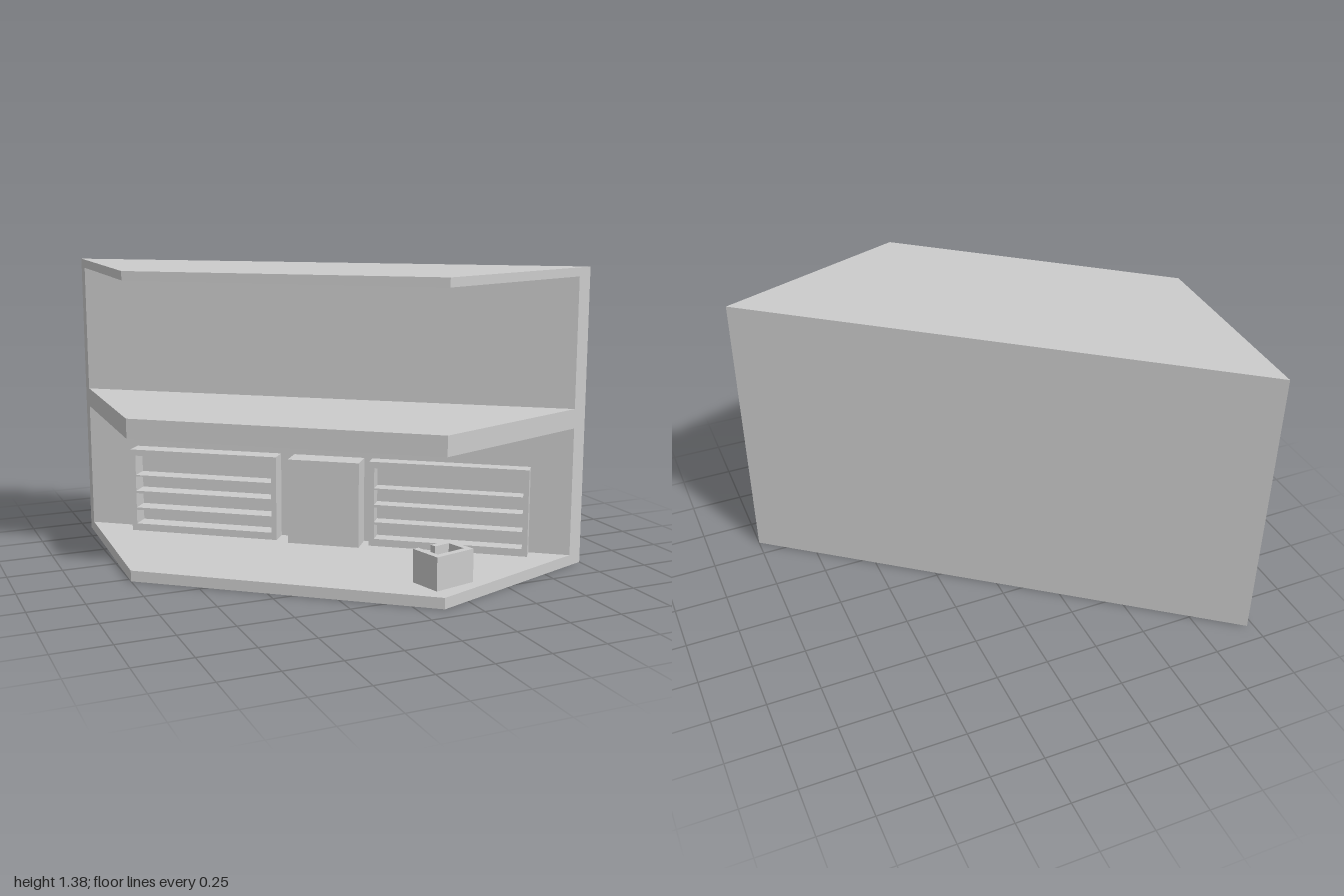
import * as THREE from 'three';

const material = new THREE.MeshStandardMaterial({ color: 0xcccccc, flatShading: true });

function add(parent, name, geometry, x = 0, y = 0, z = 0) {
  const mesh = new THREE.Mesh(geometry, material);
  mesh.name = name;
  mesh.position.set(x, y, z);
  parent.add(mesh);
  return mesh;
}

function box(parent, name, w, h, d, x, y, z) {
  return add(parent, name, new THREE.BoxGeometry(w, h, d), x, y, z);
}

// Upright prism over a plan outline given as [x, z] corners
function prism(corners, height) {
  const shape = new THREE.Shape(corners.map(([x, z]) => new THREE.Vector2(x, -z)));
  return new THREE.ExtrudeGeometry(shape, { depth: height, bevelEnabled: false }).rotateX(-Math.PI / 2);
}

function rectangle(Type, x0, y0, x1, y1) {
  return new Type([[x0, y0], [x1, y0], [x1, y1], [x0, y1]].map(p => new THREE.Vector2(...p)));
}

// Bookcase with four open bays, from x0 to x1, its back at z = 0
function bookcase(parent, name, x0, x1, depth) {
  const front = rectangle(THREE.Shape, x0, 0.05, x1, 0.46);
  for (const [low, high] of [[0.085, 0.155], [0.167, 0.24], [0.252, 0.325], [0.332, 0.43]]) {
    front.holes.push(rectangle(THREE.Path, x0 + 0.025, low, x1 - 0.025, high));
  }
  add(parent, name, new THREE.ExtrudeGeometry(front, { depth, bevelEnabled: false }));
}

export function createModel() {
  const model = new THREE.Group();
  model.name = 'twoStoreyBuilding';

  // Plan corners and the wall's inner corners
  const backLeft = [-0.97, -0.91], frontLeft = [-1, 0.03], frontRight = [0.11, 0.91], backRight = [1, 0.59];
  const innerLeft = [-0.973, -0.828], innerRight = [0.925, 0.617];
  const plan = [backLeft, frontLeft, frontRight, backRight];
  const wallPlan = [backLeft, innerLeft, innerRight, backRight];

  // Two identical storeys: floor, back wall, ceiling
  ['lower', 'upper'].forEach((level, i) => {
    const storey = new THREE.Group();
    storey.name = level + 'Storey';
    storey.position.y = i * 0.69;
    model.add(storey);
    add(storey, 'floor', prism(plan, 0.05));
    add(storey, 'backWall', prism(wallPlan, 0.6), 0, 0.05);
    add(storey, 'ceiling', prism(plan, 0.04), 0, 0.65);
  });

  // Fittings along the slanted back wall
  const fittings = new THREE.Group();
  fittings.name = 'wallFittings';
  fittings.position.set(0, 0, -0.087);
  fittings.rotation.y = -0.651;
  model.add(fittings);
  bookcase(fittings, 'rightBookcase', -0.973, -0.227, 0.09);
  bookcase(fittings, 'leftBookcase', 0.225, 0.973, 0.073);
  box(fittings, 'centrePanel', 0.346, 0.41, 0.12, 0.013, 0.255, 0.06);

  // Reception counter with an entry gap at the back
  const counter = new THREE.Group();
  counter.name = 'counter';
  counter.position.set(0.2, 0.05, 0.725);
  counter.rotation.y = 0.239;
  model.add(counter);
  box(counter, 'counterFront', 0.21, 0.15, 0.03, 0, 0.075, 0.0625);
  for (const side of [-1, 1]) {
    box(counter, 'counterSide', 0.03, 0.15, 0.125, side * 0.09, 0.075, -0.015);
  }
  box(counter, 'counterBack', 0.08, 0.15, 0.03, 0.035, 0.075, -0.0625);
  box(counter, 'desktop', 0.15, 0.015, 0.05, 0, 0.09, 0.0225);

  return model;
}
